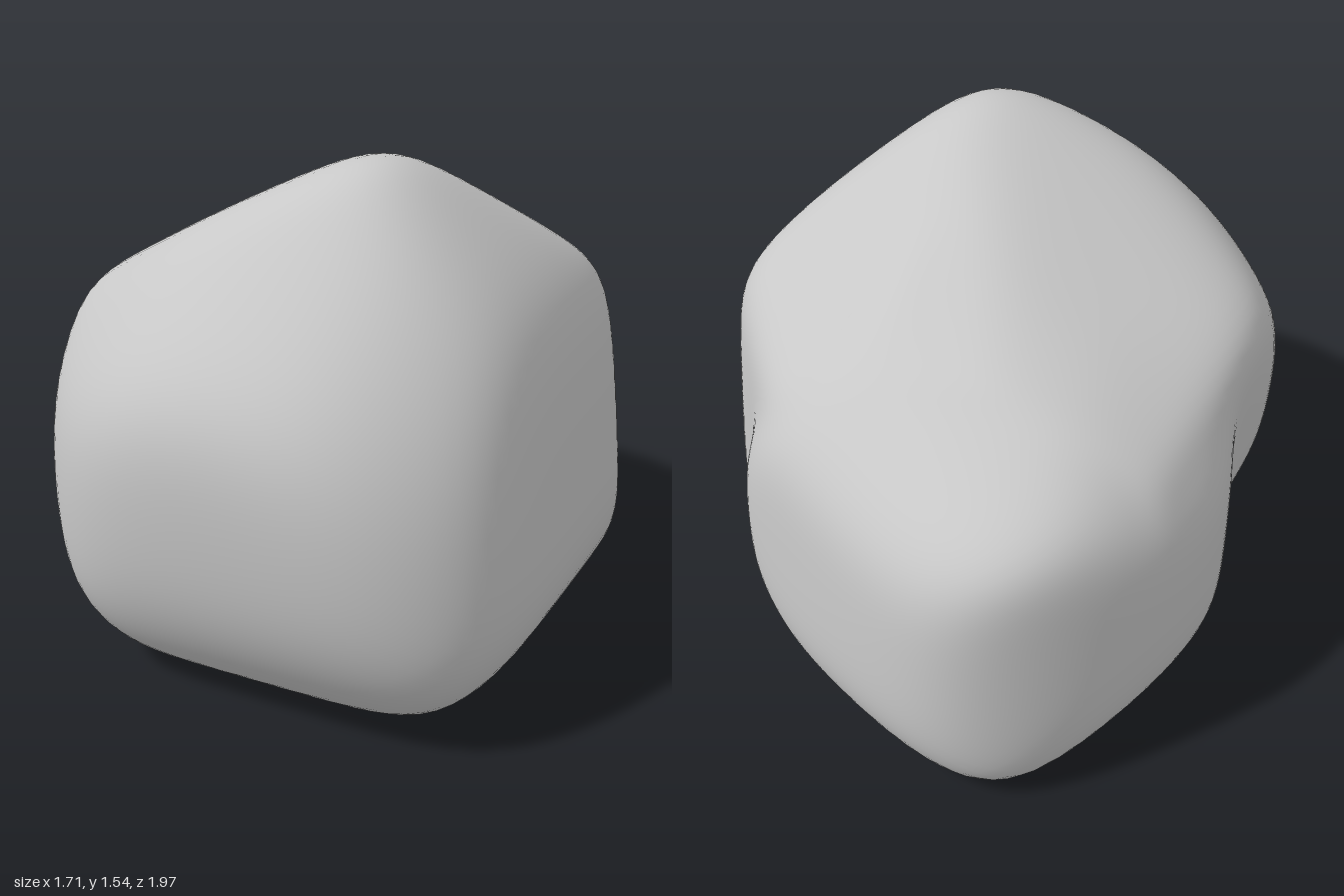
import * as THREE from 'three';
import { mergeVertices } from 'three/addons/utils/BufferGeometryUtils.js';

const CENTRE = new THREE.Vector3(0, 0.6, -0.15);
const SHARPNESS = 14; // higher gives tighter edges between facets
const BLEND = 32;     // higher gives a tighter seam between the two lobes

// Each facet: a point on the surface, then the direction the facet faces
const MAIN_SIDES = [
  [[0, 0, 0.1], [0, -1, 0]],
  [[0.835, 0.65, 0.2], [1, 0.12, 0]],
  [[0.855, 0.38, 0.2], [1, 0, 0]],
  [[-0.69, 0.75, 0.35], [-1, -0.1, 0.1]],
  [[0.1, 0.65, 0.98], [-0.05, -0.1, 1]],
  [[0.35, 0.87, 0.99], [0.05, 0.15, 1]],
  [[0, 0.6, -0.65], [-0.3, 0, -1]],
  [[0.67, 0.6, -0.49], [0.6, 0.05, -0.8]],
  [[0.725, 0.6, 0.8], [0.7, 0, 0.7]],
  [[-0.5, 0.65, 0.8], [-0.69, 0, 0.72]],
  [[0.735, 0.135, 0.15], [0.7, -0.7, 0]],
  [[0.1, 0.14, 0.8], [0, -0.7, 0.7]],
  [[-0.52, 0.16, 0.4], [-0.75, -0.65, 0.1]],
];
const MAIN_TOP = [
  [[-0.25, 1.3, 0.1], [-0.48, 0.9, -0.1]],
  [[0.26, 1.55, 0.28], [0, 1, 0]],
  [[0.3, 1.33, -0.2], [0.1, 0.8, -0.53]],
  [[0.58, 1.33, 0.2], [0.7, 0.7, 0]],
  [[0.15, 1.26, 0.73], [0, 0.7, 0.7]],
  [[-0.66, 1.08, 0.3], [-0.8, 0.6, 0.1]],
  [[-0.45, 1.06, 0.65], [-0.55, 0.6, 0.55]],
  [[0.57, 1.08, -0.5], [0.6, 0.55, -0.6]],
  [[0.6, 1.12, 0.66], [0.6, 0.5, 0.6]],
];
const BACK_LOBE = [
  [[-0.1, 0, -0.4], [0, -1, 0]],
  [[0, 0.5, -0.92], [0.29, 0.06, -0.95]],
  [[-0.37, 0.45, -0.985], [-0.15, 0, -1]],
  [[-0.59, 0.5, -0.89], [-0.7, 0, -0.7]],
  [[-0.72, 0.5, -0.75], [-0.9, 0, -0.4]],
  [[-0.81, 0.5, -0.52], [-0.95, 0, -0.3]],
  [[-0.85, 0.55, -0.15], [-1, 0, 0.2]],
  [[-0.78, 0.55, 0.05], [-0.75, 0, 0.66]],
  [[0.46, 0.5, -0.72], [0.8, 0, -0.6]],
  [[0.52, 0.5, -0.4], [1, 0, 0]],
  [[-0.25, 1.16, -0.52], [-0.2, 0.9, -0.35]],
  [[0, 1.32, 0], [-0.3, 0.9, 0.1]],
  [[-0.15, 0.97, -0.82], [0.1, 0.7, -0.7]],
  [[-0.77, 0.91, -0.35], [-0.7, 0.7, 0]],
  [[0.35, 0.95, -0.62], [0.75, 0.6, -0.3]],
  [[-0.735, 0.12, -0.35], [-0.7, -0.7, 0]],
  [[-0.1, 0.11, -0.88], [0.15, -0.7, -0.7]],
  [[0.38, 0.1, -0.62], [0.6, -0.6, -0.4]],
  [[-0.2, 0.5, 0.3], [0, 0, 1]],
];

// Distance from the centre to a softly rounded polyhedron along a direction
function radius(facets, dir) {
  let sum = 0;
  for (const f of facets) {
    const d = dir.dot(f.normal);
    if (d > 0) sum += Math.pow(d / f.height, SHARPNESS);
  }
  return Math.pow(sum, -1 / SHARPNESS);
}

// Build the facets and nudge them until the rounded surface meets their points
function makeLobe(table) {
  const facets = table.map(([p, n]) => {
    const normal = new THREE.Vector3(...n).normalize();
    const offset = new THREE.Vector3(...p).sub(CENTRE);
    const nominal = offset.dot(normal);
    return { normal, nominal, height: nominal, reach: offset.length(), dir: offset.clone().normalize() };
  });
  for (let i = 0; i < 60; i++) {
    const errors = facets.map((f) => f.reach / radius(facets, f.dir));
    facets.forEach((f, k) => {
      f.height = THREE.MathUtils.clamp(f.height * Math.sqrt(errors[k]), f.nominal * 0.96, f.nominal * 1.25);
    });
  }
  return facets;
}

// One closed skin that follows whichever lobe reaches further out
function boulderGeometry() {
  const lobes = [makeLobe([...MAIN_SIDES, ...MAIN_TOP]), makeLobe(BACK_LOBE)];
  const ball = new THREE.IcosahedronGeometry(1, 28);
  ball.deleteAttribute('uv');
  ball.deleteAttribute('normal');
  const geometry = mergeVertices(ball);
  const pos = geometry.attributes.position;
  const dir = new THREE.Vector3();
  for (let i = 0; i < pos.count; i++) {
    dir.fromBufferAttribute(pos, i).normalize();
    const sum = lobes.reduce((s, lobe) => s + Math.pow(radius(lobe, dir), BLEND), 0);
    dir.multiplyScalar(Math.pow(sum, 1 / BLEND)).add(CENTRE);
    pos.setXYZ(i, dir.x, Math.max(dir.y, 0), dir.z);
  }
  geometry.computeVertexNormals();
  return geometry;
}

export function createModel() {
  const group = new THREE.Group();
  group.name = 'rock';
  const stone = new THREE.MeshStandardMaterial({ color: 0xc8c8c8 });
  stone.name = 'grey stone';
  const boulder = new THREE.Mesh(boulderGeometry(), stone);
  boulder.name = 'boulder';
  group.add(boulder);
  return group;
}
